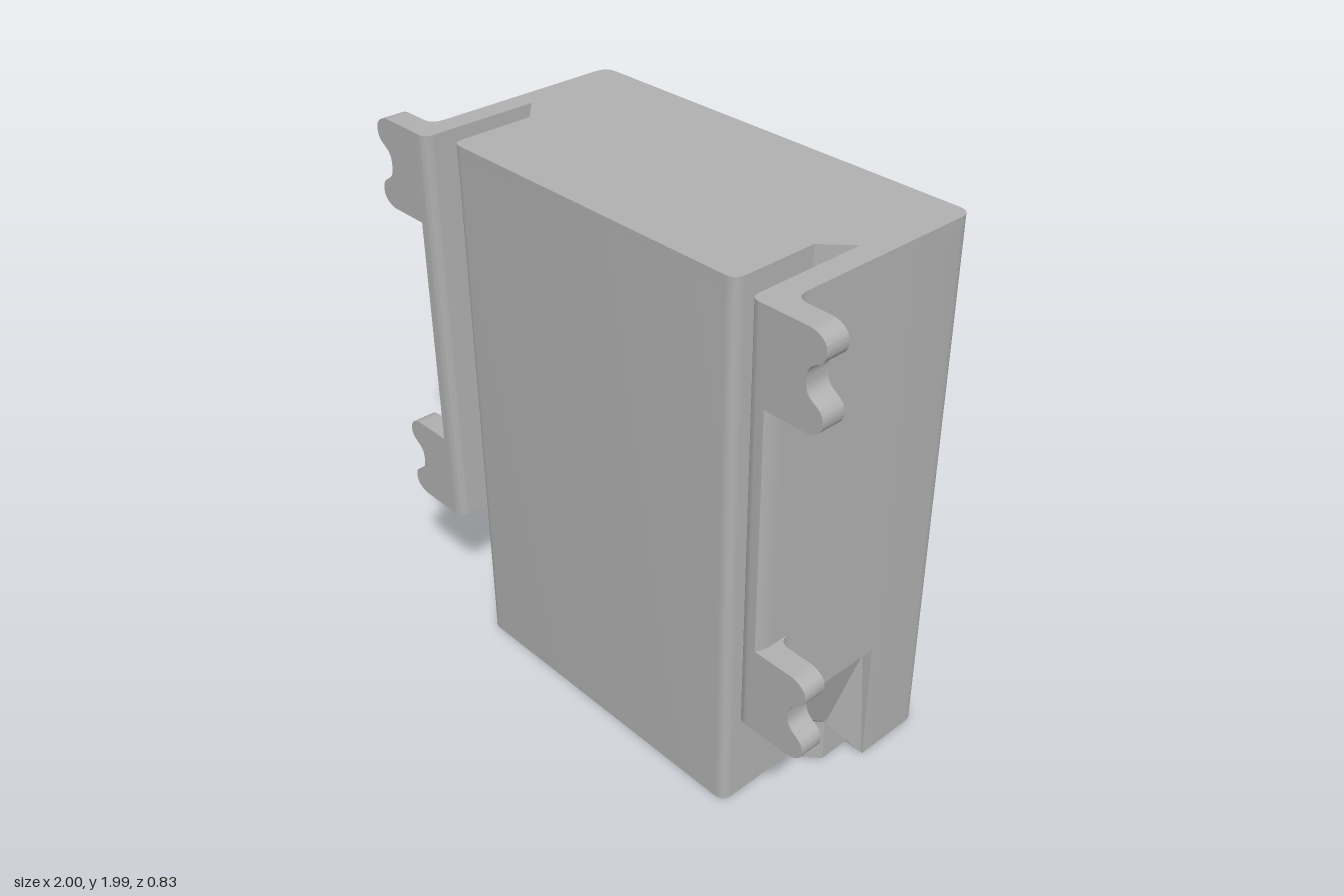
import * as THREE from 'three';
import { toCreasedNormals } from 'three/addons/utils/BufferGeometryUtils.js';

// Closed outline from [a, b, radius] points with rounded corners
function outline(points, Type = THREE.Shape) {
  const s = new Type();
  const n = points.length;
  points.forEach((p, i) => {
    const c = new THREE.Vector2(p[0], p[1]);
    const toward = (q) => {
      const d = new THREE.Vector2(q[0], q[1]).sub(c).normalize();
      return c.clone().addScaledVector(d, p[2] || 0);
    };
    const a = toward(points[(i + n - 1) % n]);
    const b = toward(points[(i + 1) % n]);
    if (i === 0) s.moveTo(a.x, a.y); else s.lineTo(a.x, a.y);
    if (p[2]) s.quadraticCurveTo(c.x, c.y, b.x, b.y);
  });
  s.closePath();
  return s;
}

// Plan points are [x, z, radius]
const plan = (pts) => pts.map(([x, z, r]) => [x, -z, r]);
const flip = (pts, side) => pts.map(([x, y, r]) => [x * side, y, r]);
const mirrored = (half) => [...half, ...flip(half, -1).reverse()];

function extrude(shape, depth) {
  return new THREE.ExtrudeGeometry(shape, { depth, bevelEnabled: false, curveSegments: 6 });
}

function upright(pts, y0, y1, hole) {
  const shape = outline(plan(pts));
  if (hole) shape.holes.push(outline(plan(hole), THREE.Path));
  const g = extrude(shape, y1 - y0);
  g.rotateX(-Math.PI / 2);
  g.translate(0, y0, 0);
  return toCreasedNormals(g, 0.6);
}

export function createModel() {
  const group = new THREE.Group();
  const grey = new THREE.MeshStandardMaterial({ color: 0xb0b0b0, side: THREE.DoubleSide });
  grey.name = 'plain grey';
  const add = (name, geometry) => {
    const m = new THREE.Mesh(geometry, grey);
    m.name = name;
    group.add(m);
  };
  const TOP = 1.985;
  const FLANGE = 0.48;

  // Hollow body, open at the bottom
  const outer = mirrored([
    [0.805, -0.42, 0.05], [0.805, -0.14], [0.725, -0.14],
    [0.725, -0.02], [0.632, 0.065], [0.632, 0.375, 0.04],
  ]);
  const inner = mirrored([
    [0.77, -0.385, 0.03], [0.77, -0.17], [0.69, -0.17],
    [0.69, -0.04], [0.597, 0.045], [0.597, 0.34, 0.02],
  ]);
  add('bodyShell', upright(outer, 0, TOP - 0.04, inner));
  add('topCap', upright(outer, TOP - 0.04, TOP));

  for (const side of [1, -1]) {
    const label = side > 0 ? 'left' : 'right';

    // Side flange running forward beside the body
    add(label + 'Flange', upright(flip([
      [0.725, -0.14], [0.805, -0.14], [0.805, 0.385, side > 0 ? 0.03 : 0.005],
      [0.79, 0.415], [0.725, 0.415, 0.035],
    ], side), FLANGE, TOP));

    // Two mounting ears with a scooped outer edge, and their root fillets
    for (const [y0, y1] of [[FLANGE, 0.8], [1.665, TOP]]) {
      const h = y1 - y0;
      const ear = extrude(outline(flip([
        [0.77, y0], [0.965, y0, 0.03], [1.0, y0 + 0.03, 0.02], [1.0, y0 + 0.08, 0.025],
        [0.935, y0 + h * 0.38, 0.03], [0.935, y0 + h * 0.62, 0.03],
        [1.0, y1 - 0.08, 0.025], [1.0, y1 - 0.03, 0.02], [0.965, y1, 0.03], [0.77, y1],
      ], side)), 0.085);
      ear.translate(0, 0, 0.33);
      add(label + 'MountingEar', toCreasedNormals(ear, 0.6));

      const fillet = new THREE.Shape();
      fillet.moveTo(side * 0.8, -0.335);
      fillet.lineTo(side * 0.855, -0.335);
      fillet.lineTo(side * 0.855, -0.33);
      fillet.quadraticCurveTo(side * 0.805, -0.33, side * 0.805, -0.28);
      fillet.lineTo(side * 0.8, -0.28);
      const root = extrude(fillet, h);
      root.rotateX(-Math.PI / 2);
      root.translate(0, y0, 0);
      add(label + 'EarFillet', toCreasedNormals(root, 0.6));
    }
  }

  // Angular web below the left flange
  const tip = [0.72, 0.16, -0.03];
  const rim = [[0.725, FLANGE, 0.38], [0.8, FLANGE, 0.3], [0.8, FLANGE, -0.1], [0.8, 0, -0.14]];
  const tris = [];
  for (let i = 0; i < rim.length - 1; i++) tris.push(...tip, ...rim[i], ...rim[i + 1]);
  const web = new THREE.BufferGeometry();
  web.setAttribute('position', new THREE.Float32BufferAttribute(tris, 3));
  web.computeVertexNormals();
  add('leftFlangeWeb', web);

  return group;
}
